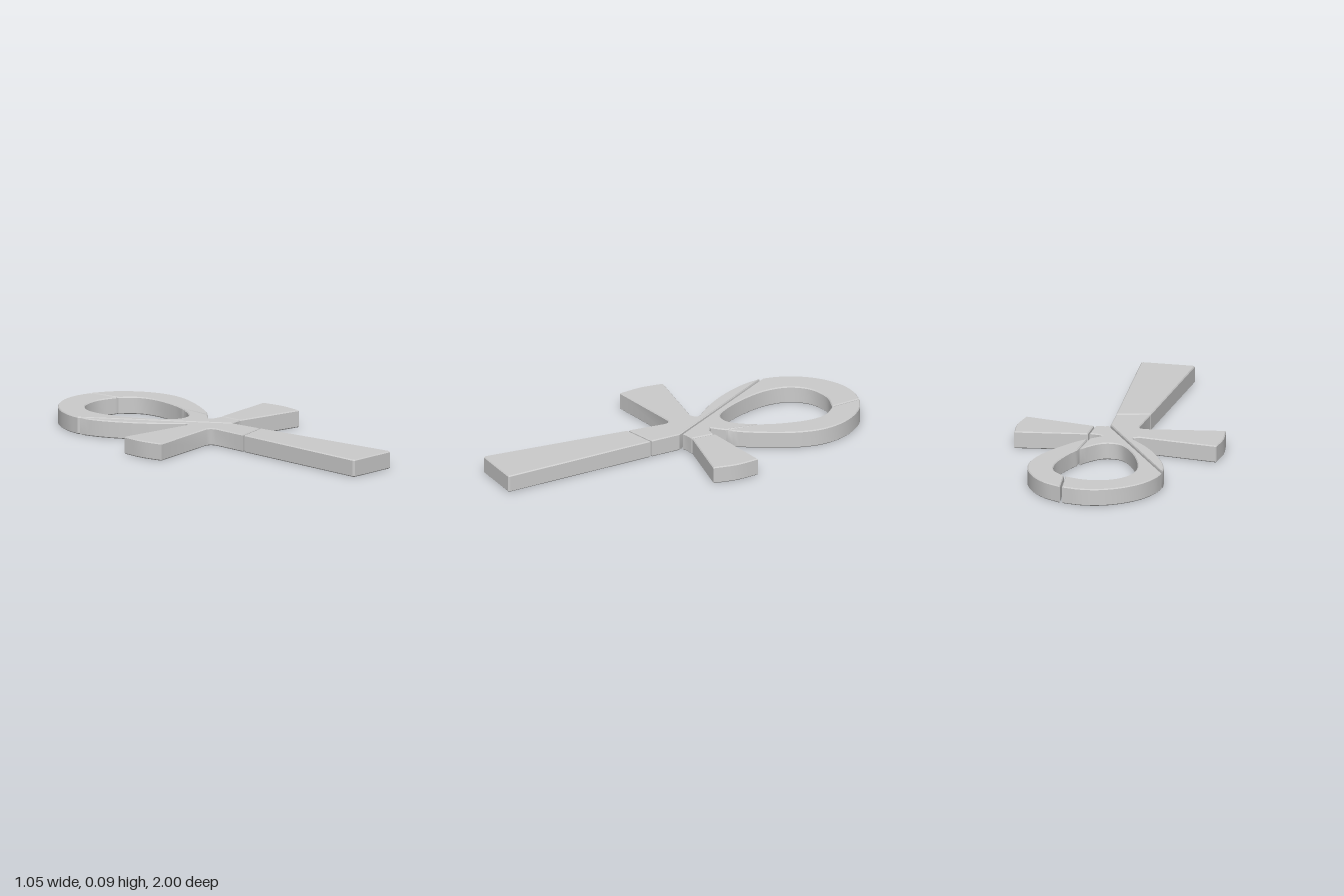
import * as THREE from 'three';
import { toCreasedNormals } from 'three/addons/utils/BufferGeometryUtils.js';

const BOTTOM = 0.011, TOP = 0.099, BEVEL = 0.005;

// Smooth run of [x, z] points through the given ones
function smooth(points, samples = 28) {
  const curve = new THREE.CatmullRomCurve3(points.map(([x, z]) => new THREE.Vector3(x, 0, z)), false, 'centripetal');
  return curve.getSpacedPoints(samples).map((p) => [p.x, p.z]);
}

// Flat slab piece from a plan outline of [x, z] points
function slab(name, outline, material) {
  const shape = new THREE.Shape(outline.map(([x, z]) => new THREE.Vector2(x, -z)));
  const geometry = new THREE.ExtrudeGeometry(shape, {
    depth: TOP - BOTTOM - 2 * BEVEL,
    bevelEnabled: true, bevelSize: BEVEL, bevelThickness: BEVEL, bevelOffset: -BEVEL, bevelSegments: 1,
  });
  geometry.rotateX(-Math.PI / 2);
  geometry.translate(0, BOTTOM + BEVEL, 0);
  const mesh = new THREE.Mesh(toCreasedNormals(geometry, 0.5), material);
  mesh.name = name;
  return mesh;
}

export function createModel() {
  const group = new THREE.Group();
  group.name = 'brokenLoopedCross';
  const material = new THREE.MeshStandardMaterial({ color: 0xcccccc, side: THREE.DoubleSide });

  // Main loop piece: top and left of the loop, down to the crossing
  group.add(slab('loopAndCrossing', [
    ...smooth([[0.095, -0.985], [0, -1], [-0.1, -0.985], [-0.2, -0.93], [-0.28, -0.845], [-0.328, -0.745], [-0.343, -0.67]]),
    [0.072, -0.01], [0.09, -0.017], [0.14, -0.024],
    [0.142, -0.143], [0.09, -0.15], [0.068, -0.165], [0.125, -0.222],
    ...smooth([[0.137, -0.395], [0.1, -0.335], [0.045, -0.278], [0, -0.268], [-0.045, -0.278], [-0.1, -0.34],
      [-0.17, -0.48], [-0.207, -0.63], [-0.19, -0.74], [-0.12, -0.82], [0, -0.85], [0.113, -0.822]], 44),
  ], material));

  // Right side of the loop, between two cracks
  group.add(slab('loopRightSide', [
    ...smooth([[0.105, -0.983], [0.2, -0.93], [0.28, -0.84], [0.325, -0.74], [0.337, -0.64], [0.315, -0.53],
      [0.255, -0.4], [0.18, -0.28], [0.135, -0.23]], 32),
    ...smooth([[0.145, -0.405], [0.175, -0.48], [0.207, -0.64], [0.19, -0.74], [0.122, -0.818]], 20),
  ], material));

  // Outer left sliver of the loop, left arm and upper stem
  group.add(slab('leftArmAndUpperStem', [
    ...smooth([[-0.344, -0.652], [-0.338, -0.6], [-0.315, -0.52], [-0.255, -0.395], [-0.18, -0.285], [-0.085, -0.18]], 20),
    [-0.085, -0.162], [-0.11, -0.147], [-0.513, -0.202],
    ...smooth([[-0.516, -0.198], [-0.526, -0.08], [-0.51, 0.043]], 8),
    [-0.11, -0.018], [-0.085, -0.01], [-0.077, 0.015], [-0.089, 0.208],
    [0.078, 0.166], [0.07, 0.008],
  ], material));

  // Right arm
  group.add(slab('rightArm', [
    [0.15, -0.151],
    ...smooth([[0.514, -0.202], [0.526, -0.08], [0.508, 0.045]], 8),
    [0.148, -0.024],
  ], material));

  // Lower stem
  group.add(slab('lowerStem', [
    [-0.09, 0.218], [-0.139, 0.988], [-0.132, 0.998],
    [0.128, 0.998], [0.135, 0.988], [0.079, 0.176],
  ], material));

  return group;
}
